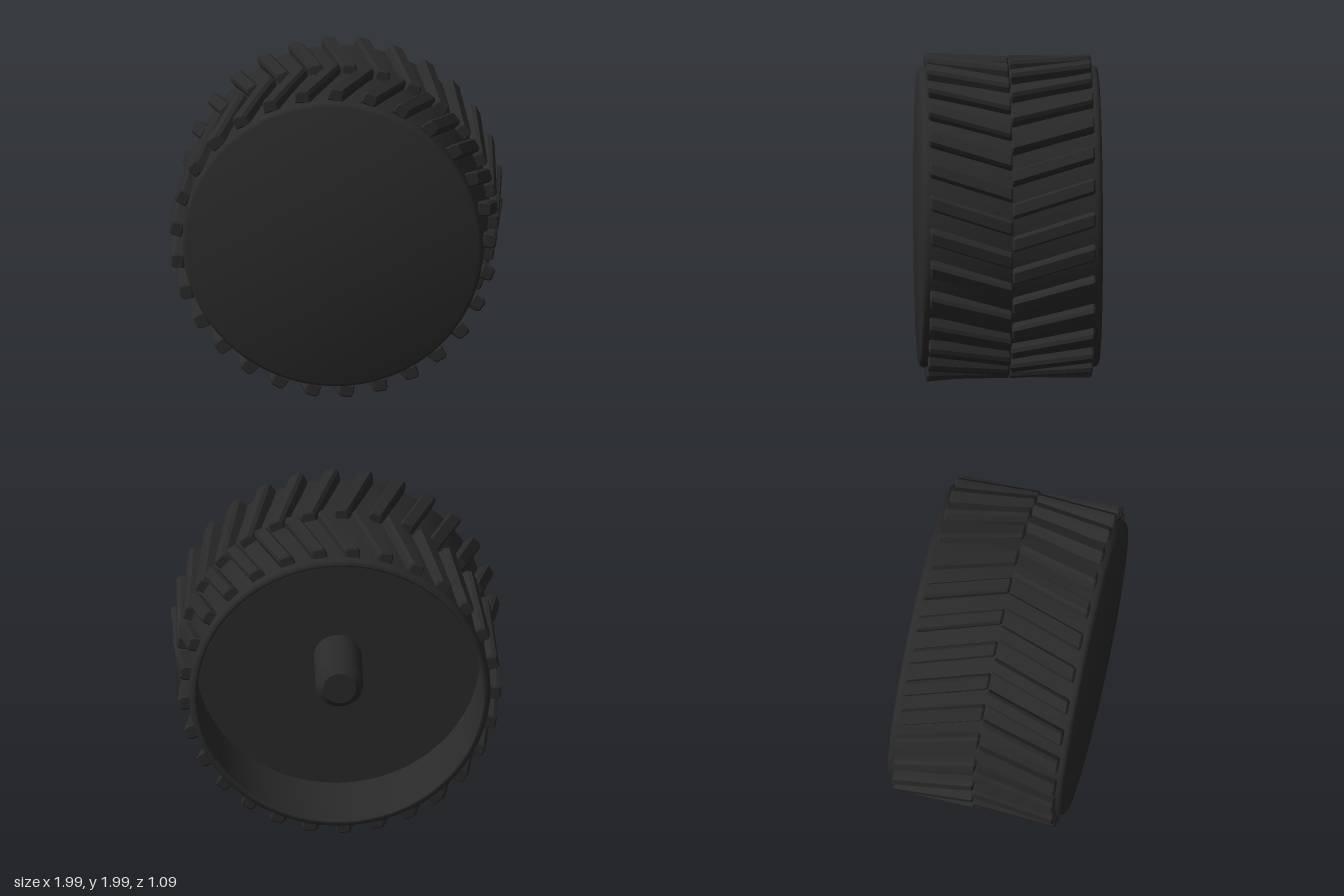
import * as THREE from 'three';
import { toCreasedNormals } from 'three/addons/utils/BufferGeometryUtils.js';

const TREADS = 29;
const HALF = 0.5; // tread length along the axle

// Surface of revolution about z from [radius, z] pairs
function lathe(name, profile, segments, material) {
  const points = profile.map(([r, z]) => new THREE.Vector2(r, z));
  const geometry = new THREE.LatheGeometry(points, segments).rotateX(Math.PI / 2);
  const mesh = new THREE.Mesh(toCreasedNormals(geometry, 0.6), material);
  mesh.name = name;
  return mesh;
}

// Chamfered bar from z = 0 to z = side * HALF, sheared sideways from x0 to x1
function treadGeometry(side, x0, x1) {
  const bevel = 0.01;
  const w = 0.047 - bevel;
  const shape = new THREE.Shape([
    [-w, 0.9], [w, 0.9], [w, 0.948], [w - 0.01, 0.963], [-w + 0.01, 0.963], [-w, 0.948],
  ].map(([x, y]) => new THREE.Vector2(x, y)));
  const geometry = new THREE.ExtrudeGeometry(shape, {
    depth: HALF - 2 * bevel, bevelThickness: bevel, bevelSize: bevel, bevelSegments: 1,
  });
  geometry.translate(0, 0, side > 0 ? bevel : bevel - HALF);
  const p = geometry.attributes.position;
  for (let i = 0; i < p.count; i++) {
    p.setX(i, p.getX(i) + x0 + (x1 - x0) * Math.abs(p.getZ(i)) / HALF);
  }
  geometry.computeVertexNormals();
  return geometry;
}

export function createModel() {
  const rubber = new THREE.MeshStandardMaterial({ color: 0x2a2a2a });
  const model = new THREE.Group();
  model.name = 'wheel';
  const wheel = new THREE.Group();
  wheel.name = 'wheelBody';
  wheel.position.y = 1;
  model.add(wheel);

  // Drum: recessed back disc, inner wall, rounded rims, closed front face
  wheel.add(lathe('drum', [
    [0, -0.05], [0.865, -0.05], [0.865, -0.535], [0.875, -0.545],
    [0.885, -0.545], [0.9, -0.538], [0.909, -0.524], [0.912, -0.505],
    [0.912, 0.505], [0.909, 0.524], [0.9, 0.538], [0.885, 0.545], [0, 0.545],
  ], 64, rubber));

  // Axle stub with chamfered tip
  wheel.add(lathe('axle', [
    [0, -0.475], [0.1, -0.475], [0.145, -0.43], [0.145, -0.04],
  ], 24, rubber));

  // Two staggered rings of slanted treads forming chevrons
  const rings = [
    ['frontTread', treadGeometry(1, -0.025, -0.185)],
    ['backTread', treadGeometry(-1, 0.075, -0.08)],
  ];
  for (const [name, geometry] of rings) {
    const ring = new THREE.Group();
    ring.name = name + 's';
    for (let i = 0; i < TREADS; i++) {
      const tread = new THREE.Mesh(geometry, rubber);
      tread.name = name;
      tread.rotation.z = -i * 2 * Math.PI / TREADS;
      ring.add(tread);
    }
    wheel.add(ring);
  }
  return model;
}
